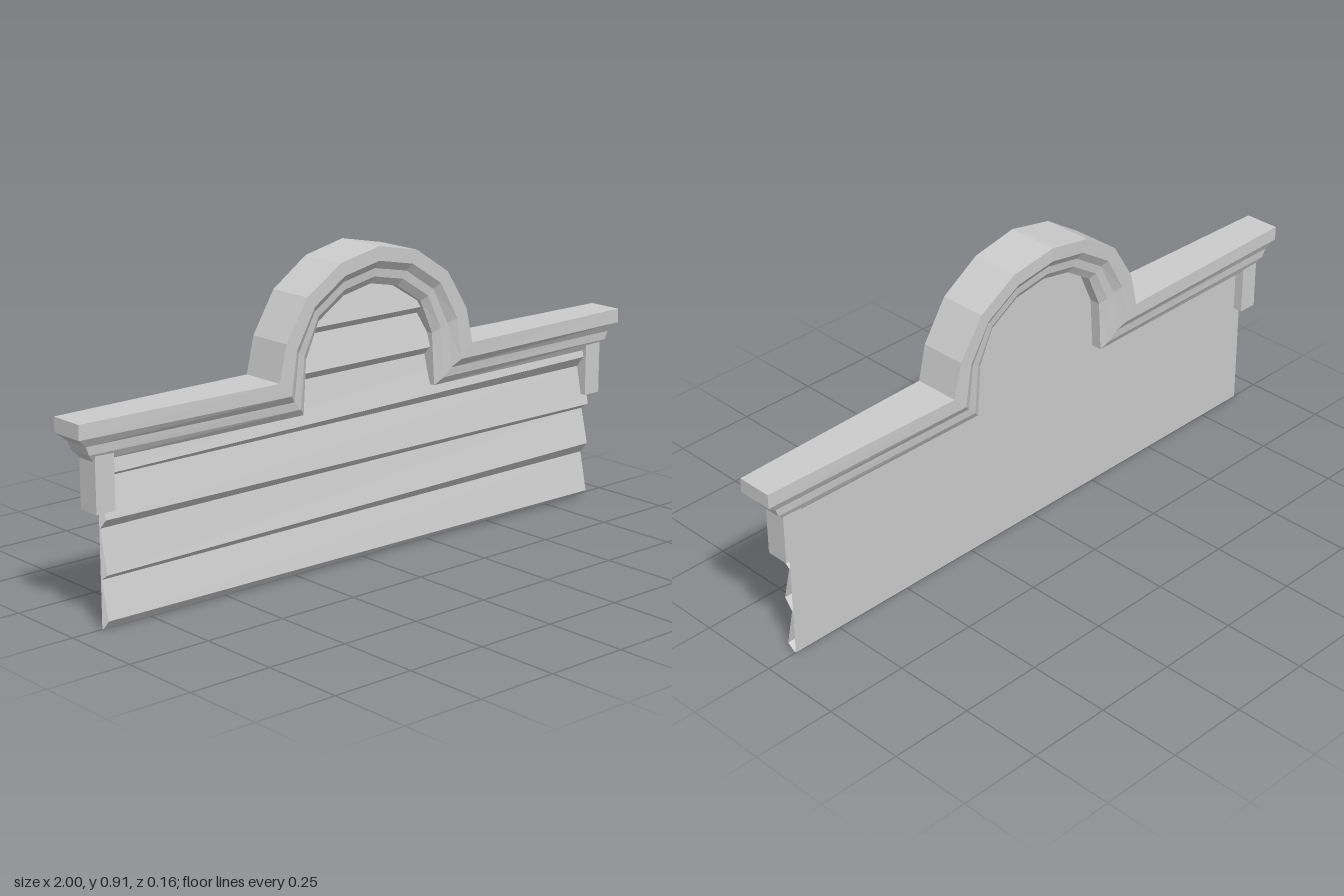
import * as THREE from 'three';

const grey = new THREE.MeshStandardMaterial({ color: 0xcccccc, flatShading: true, side: THREE.DoubleSide });

function meshFrom(name, positions, indices) {
  const g = new THREE.BufferGeometry();
  g.setAttribute('position', new THREE.Float32BufferAttribute(positions, 3));
  g.setIndex(indices);
  const flat = g.toNonIndexed();
  flat.computeVertexNormals();
  const mesh = new THREE.Mesh(flat, grey);
  mesh.name = name;
  return mesh;
}

// mirrors the right half of an outline (centre point first) to a full path from left to right
const mirrored = half => [...half.slice(1).reverse().map(([x, y]) => [-x, y]), ...half];

const outer = mirrored([[0, 0.913], [0.14, 0.885], [0.26, 0.807], [0.335, 0.69], [0.36, 0.585], [1, 0.585]]);
const inner = mirrored([[0, 0.803], [0.1, 0.783], [0.19, 0.725], [0.235, 0.625], [0.245, 0.47], [0.94, 0.47]]);

// moulding profile: fraction from outer to inner edge, thickness, inset at the end returns
const profile = [[0, 1, 0], [0.37, 1, 0], [0.58, 0.77, 0.5], [0.8, 0.73, 0.67], [1, 0.52, 1]];

function makeCornice() {
  const pos = [], idx = [], n = profile.length, ring = 2 * n;
  outer.forEach(([ox, oy], i) => {
    const [ix, iy] = inner[i], end = i === 0 || i === outer.length - 1;
    const ax = Math.abs(ox);
    const front = end ? 0.058 : 0.077;
    const back = end ? 0.05 : 0.062 + 0.016 * (1 - ax / 0.36);
    const pt = ([t, w, inset], z) =>
      pos.push(ox + (ix - ox) * (end ? inset : t), oy + (iy - oy) * t, z * w);
    profile.forEach(p => pt(p, front));
    [...profile].reverse().forEach(p => pt(p, -back));
  });
  // skin along the path
  for (let i = 0; i < outer.length - 1; i++) {
    for (let j = 0; j < ring; j++) {
      const a = i * ring + j, b = i * ring + (j + 1) % ring;
      idx.push(a, b, a + ring, b, b + ring, a + ring);
    }
  }
  // end returns
  const last = (outer.length - 1) * ring;
  for (let j = 0; j < n - 1; j++) {
    const k = ring - 1 - j;
    idx.push(j, k, j + 1, j + 1, k, k - 1);
    idx.push(last + j, last + j + 1, last + k, last + j + 1, last + k - 1, last + k);
  }
  return meshFrom('cornice', pos, idx);
}

// one lapped board: sloping underside, then a face leaning back to the next board
function makeBoard(y0, y1, w0, w1, lipLeft, lipRight) {
  const pos = [
    -w0, y0, 0.004, w0, y0, 0.004,
    -w0, y0 + lipLeft, 0.03, w0, y0 + lipRight, 0.03,
    -w1, y1, 0.004, w1, y1, 0.004,
  ];
  return meshFrom('sidingBoard', pos, [0, 1, 3, 0, 3, 2, 2, 3, 5, 2, 5, 4]);
}

export function createModel() {
  const model = new THREE.Group();
  model.add(makeCornice());

  // lapped siding, slightly uneven
  const siding = new THREE.Group();
  siding.name = 'siding';
  siding.add(
    makeBoard(0, 0.138, 0.905, 0.905, 0.03, 0.018),
    makeBoard(0.138, 0.278, 0.905, 0.905, 0.018, 0.032),
    makeBoard(0.278, 0.415, 0.905, 0.905, 0.028, 0.017),
    makeBoard(0.415, 0.558, 0.905, 0.905, 0.014, 0.033),
    makeBoard(0.558, 0.683, 0.255, 0.255, 0.024, 0.024),
    makeBoard(0.683, 0.82, 0.255, 0.2, 0.022, 0.022),
  );
  model.add(siding);

  // flat back of the wall
  const half = [[0, 0.84], [0.12, 0.82], [0.22, 0.755], [0.275, 0.65], [0.29, 0.53], [0.905, 0.53], [0.905, 0]];
  const shape = new THREE.Shape(mirrored(half).map(([x, y]) => new THREE.Vector2(x, y)));
  const back = new THREE.Mesh(new THREE.ShapeGeometry(shape), grey);
  back.name = 'backPanel';
  model.add(back);

  // end brackets under the cornice
  for (const side of [-1, 1]) {
    const bracket = new THREE.Mesh(new THREE.BoxGeometry(0.06, 0.165, 0.069), grey);
    bracket.position.set(side * 0.91, 0.4125, 0.005);
    bracket.name = side > 0 ? 'leftBracket' : 'rightBracket';
    model.add(bracket);
  }
  return model;
}
